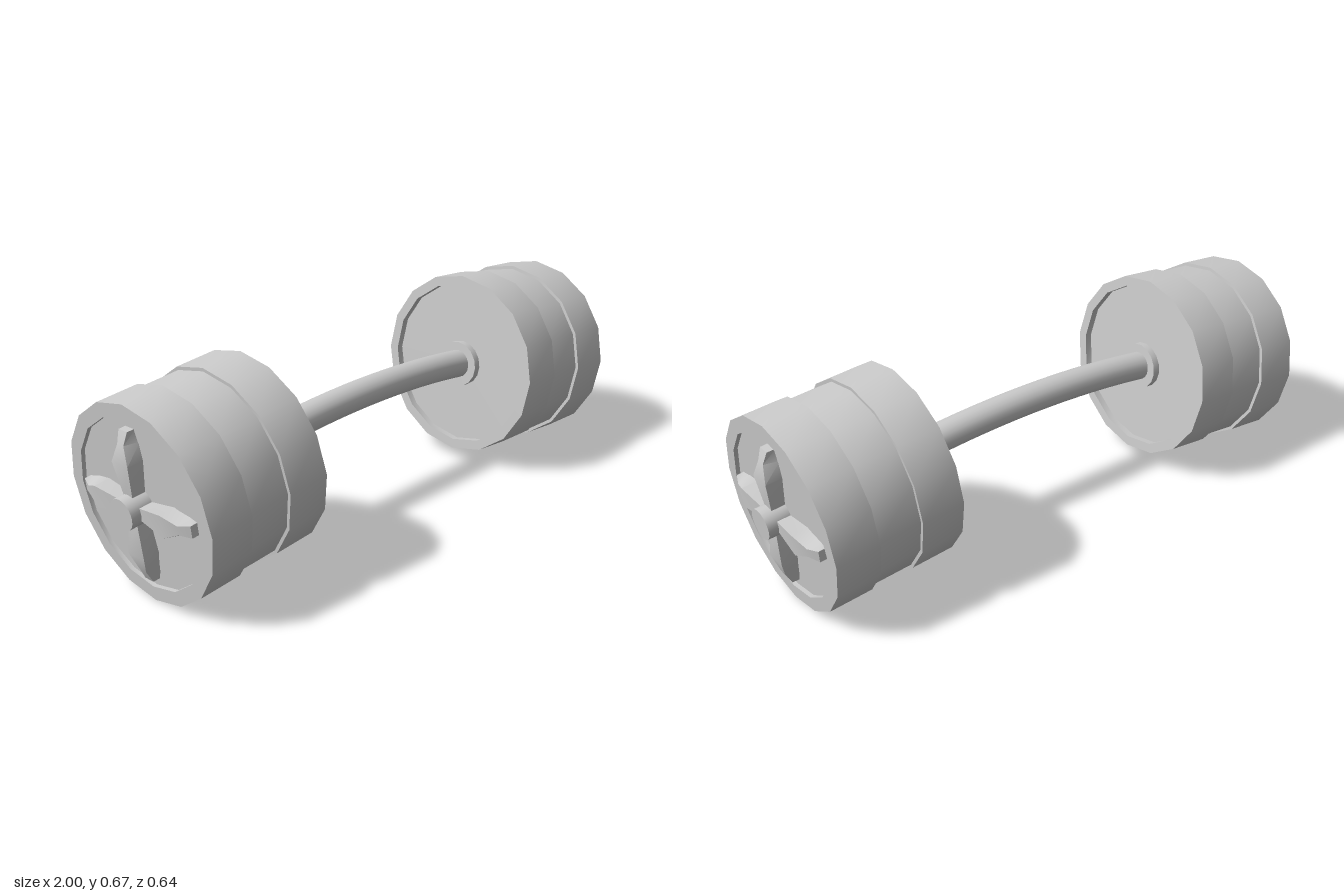
import * as THREE from 'three';
import { mergeVertices, toCreasedNormals } from 'three/addons/utils/BufferGeometryUtils.js';

const mat = new THREE.MeshStandardMaterial({ color: 0xcccccc });
const TILT = THREE.MathUtils.degToRad(5);
const TWIST = 0.031;

function addPart(parent, name, geometry) {
  const mesh = new THREE.Mesh(toCreasedNormals(geometry, 0.55), mat);
  mesh.name = name;
  parent.add(mesh);
  return mesh;
}

// Profile of [radius, distance along +x], turned about the x axis
function turned(profile, sides) {
  const g = new THREE.LatheGeometry(profile.map(([r, s]) => new THREE.Vector2(r, s)), sides);
  return g.rotateZ(-Math.PI / 2);
}

// Raised spoke along +y, lofted through trapezoid sections
function spokeGeometry() {
  // radius, half width at base, half width at crest, height of crest
  const sections = [
    [0.03, 0.018, 0.018, 0.03],
    [0.15, 0.037, 0.036, 0.04],
    [0.205, 0.03, 0.014, 0.026],
    [0.243, 0.02, 0.019, 0.01],
  ];
  const base = -0.02;
  const pos = [], index = [];
  for (const [r, b, c, h] of sections) {
    pos.push(base, r, b, h, r, c, h, r, -c, base, r, -b);
  }
  for (let i = 0; i < sections.length - 1; i++) {
    for (let j = 0; j < 4; j++) {
      const a = i * 4 + j, b = i * 4 + (j + 1) % 4;
      index.push(a, b, b + 4, a, b + 4, a + 4);
    }
  }
  const e = (sections.length - 1) * 4;
  index.push(0, 2, 1, 0, 3, 2, e, e + 1, e + 2, e, e + 2, e + 3);
  const g = new THREE.BufferGeometry();
  g.setAttribute('position', new THREE.Float32BufferAttribute(pos, 3));
  g.setIndex(index);
  g.computeVertexNormals();
  return mergeVertices(g);
}

// One weight, with its outer face at x = 0 and its body running to x = -0.44
function weightHead(twist) {
  const head = new THREE.Group();

  // Three stacked plates with a recess in each end
  addPart(head, 'plates', turned([
    [0, -0.415], [0.285, -0.415], [0.285, -0.44], [0.319, -0.44],
    [0.319, -0.293], [0.308, -0.293], [0.308, -0.147], [0.319, -0.147],
    [0.319, 0], [0.272, 0], [0.272, -0.014], [0, -0.014],
  ], 16));

  // Collar around the bar on the inner face
  addPart(head, 'collar', turned([
    [0, -0.44], [0.08, -0.44], [0.08, -0.41],
  ], 16));

  // Hub and four spokes on the outer face
  addPart(head, 'hub', turned([
    [0.05, -0.03], [0.05, 0.064], [0, 0.064],
  ], 20));
  for (let i = 0; i < 4; i++) {
    addPart(head, 'spoke', spokeGeometry().rotateX(i * Math.PI / 2));
  }

  head.rotation.set(twist, 0, -TILT, 'ZYX');
  head.position.set(0.932, 0.318, 0);
  return head;
}

export function createModel() {
  const model = new THREE.Group();
  model.name = 'dumbbell';

  // Gently arched bar, ending inside the weights
  const points = [-0.54, -0.36, -0.18, 0, 0.18, 0.36, 0.54]
    .map((x) => new THREE.Vector3(x, 0.39 - 0.13 * x * x, 0));
  const path = new THREE.CatmullRomCurve3(points);
  addPart(model, 'bar', new THREE.TubeGeometry(path, 16, 0.049, 20));

  // Matching weights at both ends, twisted as mirror images
  for (const side of [1, -1]) {
    const end = new THREE.Group();
    end.name = side > 0 ? 'leftWeight' : 'rightWeight';
    end.add(weightHead(-side * TWIST));
    if (side < 0) end.rotation.y = Math.PI;
    model.add(end);
  }
  return model;
}
